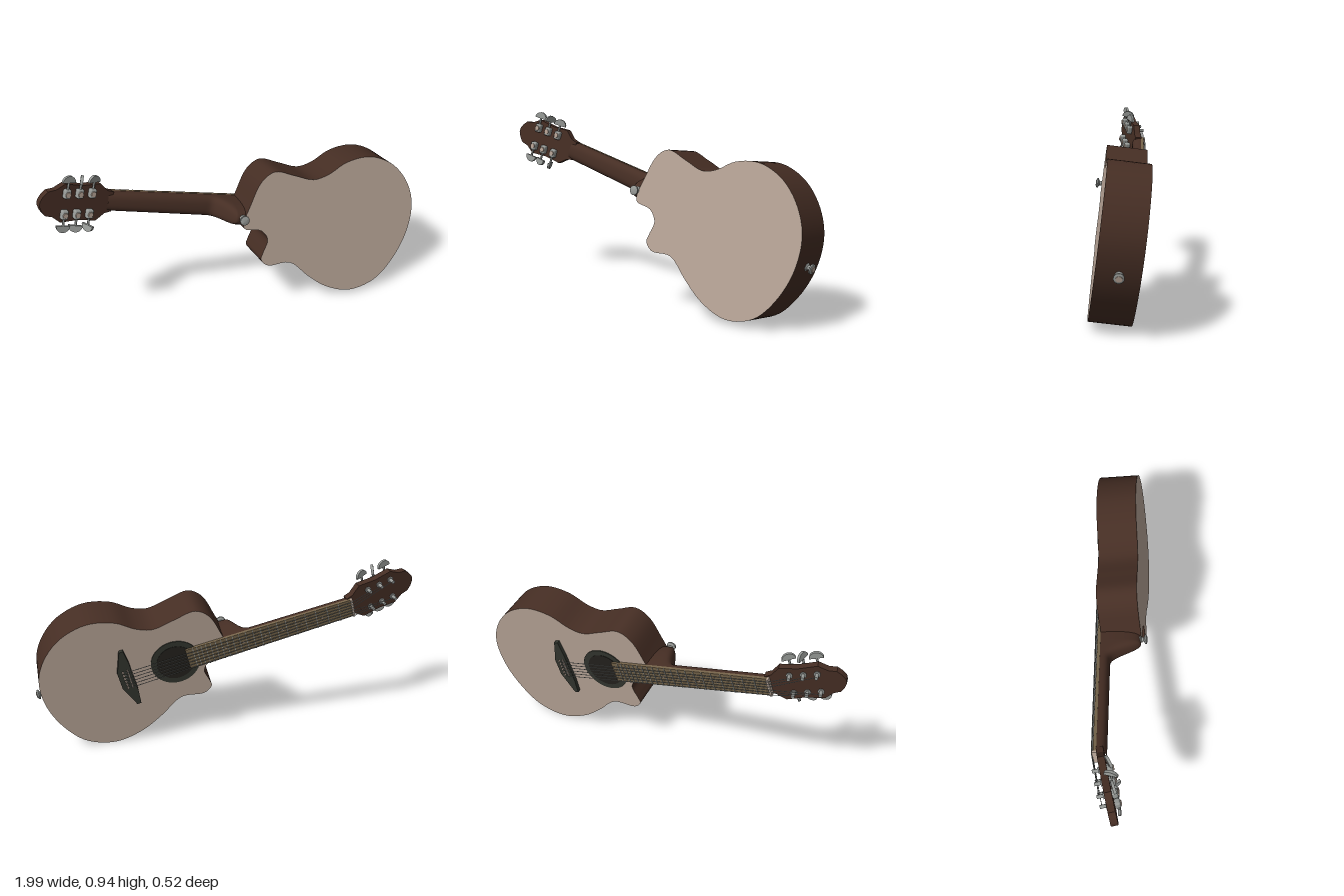
import * as THREE from 'three';
import { toCreasedNormals } from 'three/addons/utils/BufferGeometryUtils.js';
import { RoundedBoxGeometry } from 'three/addons/geometries/RoundedBoxGeometry.js';
import { ParametricGeometry } from 'three/addons/geometries/ParametricGeometry.js';

const mat = (name, color) => {
  const m = new THREE.MeshStandardMaterial({ color });
  m.name = name;
  return m;
};

export function createModel() {
  const wood = mat('dark wood', 0x462e24);
  const plate = mat('pale plate', 0xb9a698);
  const board = mat('fingerboard wood', 0x75644a);
  const ebony = mat('ebony', 0x33362f);
  const hollow = mat('hollow', 0x24221e);
  const metal = mat('metal', 0x979a97);

  // Instrument frame: x towards the tail, y across, z towards the back plate; soundboard at z = 0
  const guitar = new THREE.Group();
  guitar.name = 'guitar';
  const add = (name, geo, material, parent = guitar, x = 0, y = 0, z = 0) => {
    const m = new THREE.Mesh(geo, material);
    m.name = name;
    m.position.set(x, y, z);
    parent.add(m);
    return m;
  };
  const polygon = pts => new THREE.Shape(pts.map(p => new THREE.Vector2(...p)));
  const slab = (shape, depth) => new THREE.ExtrudeGeometry(shape, { depth, bevelEnabled: false, curveSegments: 16 });
  const pegZ = (r1, r2, h, n = 16) => new THREE.CylinderGeometry(r1, r2, h, n).rotateX(Math.PI / 2);
  const rod = (name, a, b, r, material, parent = guitar) => {
    const dir = b.clone().sub(a);
    const m = add(name, new THREE.CylinderGeometry(r, r, dir.length(), 6), material, parent);
    m.position.copy(a).addScaledVector(dir, 0.5);
    m.quaternion.setFromUnitVectors(new THREE.Vector3(0, 1, 0), dir.normalize());
    return m;
  };

  // Body with a cutaway on the lower side
  const outline = [
    [-0.011, -0.047], [0.09, -0.058], [0.138, -0.107], [0.127, -0.182], [0.124, -0.221], [0.171, -0.254],
    [0.295, -0.234], [0.426, -0.312], [0.552, -0.373], [0.709, -0.393], [0.851, -0.326], [0.935, -0.198],
    [0.98, -0.03], [0.967, 0.133], [0.899, 0.255], [0.783, 0.348], [0.635, 0.382], [0.502, 0.343],
    [0.407, 0.268], [0.33, 0.237], [0.214, 0.253], [0.098, 0.267], [0.038, 0.213], [0.003, 0.092],
  ].map(([x, y]) => new THREE.Vector3(x, y, 0));
  const rim = new THREE.CatmullRomCurve3(outline, true, 'centripetal').getPoints(120).slice(0, -1);
  const bodyGeo = slab(polygon(rim.map(p => [p.x, p.y])), 0.207);
  add('body', toCreasedNormals(bodyGeo, 0.6), [plate, wood]);

  // Neck: D-shaped sections deepening into the heel
  const neckGeo = new ParametricGeometry((s, t, out) => {
    const x = -0.71 * (1 - t) ** 2 + 0.01;
    const heel = THREE.MathUtils.smoothstep(x, -0.17, -0.05) ** 2;
    const halfWidth = 0.058 + x * 0.01;
    const depth = 0.045 + 0.16 * heel;
    const c = Math.cos(s * Math.PI), d = Math.abs(Math.sin(s * Math.PI));
    out.set(x, halfWidth * Math.sign(c) * Math.abs(c) ** 0.75, depth * d ** 0.75);
  }, 20, 48);
  add('neck', neckGeo, wood);

  // Fingerboard, nut, frets and position dots
  const nutX = -0.695, endX = 0.205, bridgeX = 0.53;
  const halfAt = x => 0.052 + 0.01 * (x - nutX) / (endX - nutX);
  add('fingerboard', slab(polygon([[nutX, -0.052], [endX, -0.062], [endX, 0.062], [nutX, 0.052]]), 0.016), board, guitar, 0, 0, -0.016);
  add('nut', new THREE.BoxGeometry(0.012, 0.104, 0.024), plate, guitar, nutX - 0.004, 0, -0.011);
  const fretX = k => nutX + (bridgeX - nutX) * (1 - 2 ** (-k / 12));
  for (let k = 1; k <= 21; k++) {
    add('fret', new THREE.BoxGeometry(0.004, 2 * halfAt(fretX(k)), 0.004), metal, guitar, fretX(k), 0, -0.017);
  }
  for (const k of [3, 5, 7, 9, 12, 15]) {
    add('positionDot', pegZ(0.006, 0.006, 0.003, 10), plate, guitar, (fretX(k) + fretX(k - 1)) / 2, 0, -0.016);
  }

  // Sound hole with its rosette
  add('rosette', pegZ(0.13, 0.13, 0.006, 40), ebony, guitar, 0.27, 0, -0.002);
  add('soundHole', pegZ(0.1, 0.1, 0.008, 40), hollow, guitar, 0.27, 0, -0.003);

  // Bridge with saddle and pins
  const bridge = polygon([
    [-0.022, -0.175], [0.0, -0.175], [0.03, -0.09], [0.045, -0.05], [0.045, 0.05],
    [0.03, 0.09], [0.0, 0.175], [-0.022, 0.175], [-0.03, 0.09], [-0.03, -0.09],
  ]);
  add('bridge', slab(bridge, 0.02), ebony, guitar, bridgeX, 0, -0.02);
  add('saddle', new THREE.BoxGeometry(0.007, 0.12, 0.01), plate, guitar, bridgeX - 0.01, 0, -0.023);

  // Headstock, tilted back
  const head = new THREE.Group();
  head.name = 'headstock';
  head.position.set(nutX, 0.004, 0);
  head.rotation.y = 0.2;
  guitar.add(head);
  const edge = [[0.015, 0.052], [-0.02, 0.06], [-0.065, 0.098], [-0.16, 0.09], [-0.255, 0.1],
    [-0.3, 0.07], [-0.34, 0.062], [-0.36, 0.04], [-0.375, 0.012]];
  const headShape = polygon([...edge, ...edge.map(([x, y]) => [x, -y]).reverse()]);
  add('headPlate', slab(headShape, 0.036), wood, head);

  // Tuners: post in front, housing behind, half-round button at the side
  const half = new THREE.Shape();
  half.absarc(0, 0, 0.035, 0, Math.PI);
  const buttonGeo = slab(half, 0.014).translate(0, 0, -0.007);
  const spots = [-0.11, -0.178, -0.245];
  const turns = { 1: [0.3, 1.1, 0.1], '-1': [1.2, 0.35, 0.1] };
  const posts = [];
  for (const side of [-1, 1]) {
    spots.forEach((x, i) => {
      const tuner = new THREE.Group();
      tuner.name = 'tuner';
      tuner.position.set(x, 0, 0);
      tuner.scale.y = side;
      tuner.scale.x = side; // half turn keeps the winding right
      head.add(tuner);
      add('tunerHousing', new RoundedBoxGeometry(0.036, 0.048, 0.032, 2, 0.009), metal, tuner, 0, 0.054, 0.048);
      add('housingCap', pegZ(0.013, 0.015, 0.014), plate, tuner, 0, 0.054, 0.062);
      rod('tunerShaft', new THREE.Vector3(0, 0.07, 0.05), new THREE.Vector3(0, 0.118, 0.05), 0.006, metal, tuner);
      const button = add('tunerButton', buttonGeo, metal, tuner, 0, 0.112, 0.05);
      button.rotation.y = turns[side][i];
      add('postCollar', pegZ(0.015, 0.017, 0.008), metal, tuner, 0, 0.054, -0.003);
      add('post', pegZ(0.009, 0.009, 0.038), metal, tuner, 0, 0.054, -0.018);
      head.updateMatrix();
      posts.push(new THREE.Vector3(x, side * 0.054, -0.026).applyMatrix4(head.matrix));
    });
  }

  // Strings run from the bridge over the nut to the posts
  const postOrder = [posts[0], posts[1], posts[2], posts[5], posts[4], posts[3]];
  postOrder.forEach((post, i) => {
    const t = i / 2.5 - 1;
    const nutPoint = new THREE.Vector3(nutX - 0.004, t * 0.042, -0.025);
    const pin = new THREE.Vector3(bridgeX + 0.015, t * 0.05, -0.021);
    const saddle = new THREE.Vector3(bridgeX - 0.01, t * 0.05, -0.03);
    rod('string', pin, saddle, 0.0018, metal);
    rod('string', saddle, nutPoint, 0.0018, metal);
    rod('string', nutPoint, post, 0.0018, metal);
    add('bridgePin', pegZ(0.005, 0.006, 0.01, 10), plate, guitar, pin.x, pin.y, -0.023);
  });

  // Strap buttons on the heel and the tail
  const strapProfile = [[0, 0], [0.02, 0], [0.02, 0.006], [0.012, 0.012], [0.012, 0.022], [0.025, 0.029], [0.025, 0.036], [0.013, 0.041], [0, 0.041]]
    .map(p => new THREE.Vector2(...p));
  const strapGeo = toCreasedNormals(new THREE.LatheGeometry(strapProfile, 20), 0.5);
  const heelButton = add('heelStrapButton', strapGeo, metal, guitar, -0.026, 0.004, 0.197);
  heelButton.rotation.x = Math.PI / 2;
  const tailButton = add('tailStrapButton', strapGeo, metal, guitar, 0.977, -0.008, 0.1);
  tailButton.rotation.z = -Math.PI / 2;
  add('tailButtonCap', new THREE.CylinderGeometry(0.015, 0.015, 0.004, 16).rotateZ(Math.PI / 2), plate, guitar, 1.018, -0.008, 0.1);

  // Lean the whole instrument into its pose
  const n = new THREE.Vector3(0.23, 0.13, 1).normalize();
  const a = new THREE.Vector3(1, -0.26, -0.1962).normalize();
  const b = new THREE.Vector3().crossVectors(n, a);
  guitar.quaternion.setFromRotationMatrix(new THREE.Matrix4().makeBasis(a, b, n));
  guitar.position.set(0, 0.557, -0.036);

  const model = new THREE.Group();
  model.name = 'acousticGuitar';
  model.add(guitar);
  return model;
}
